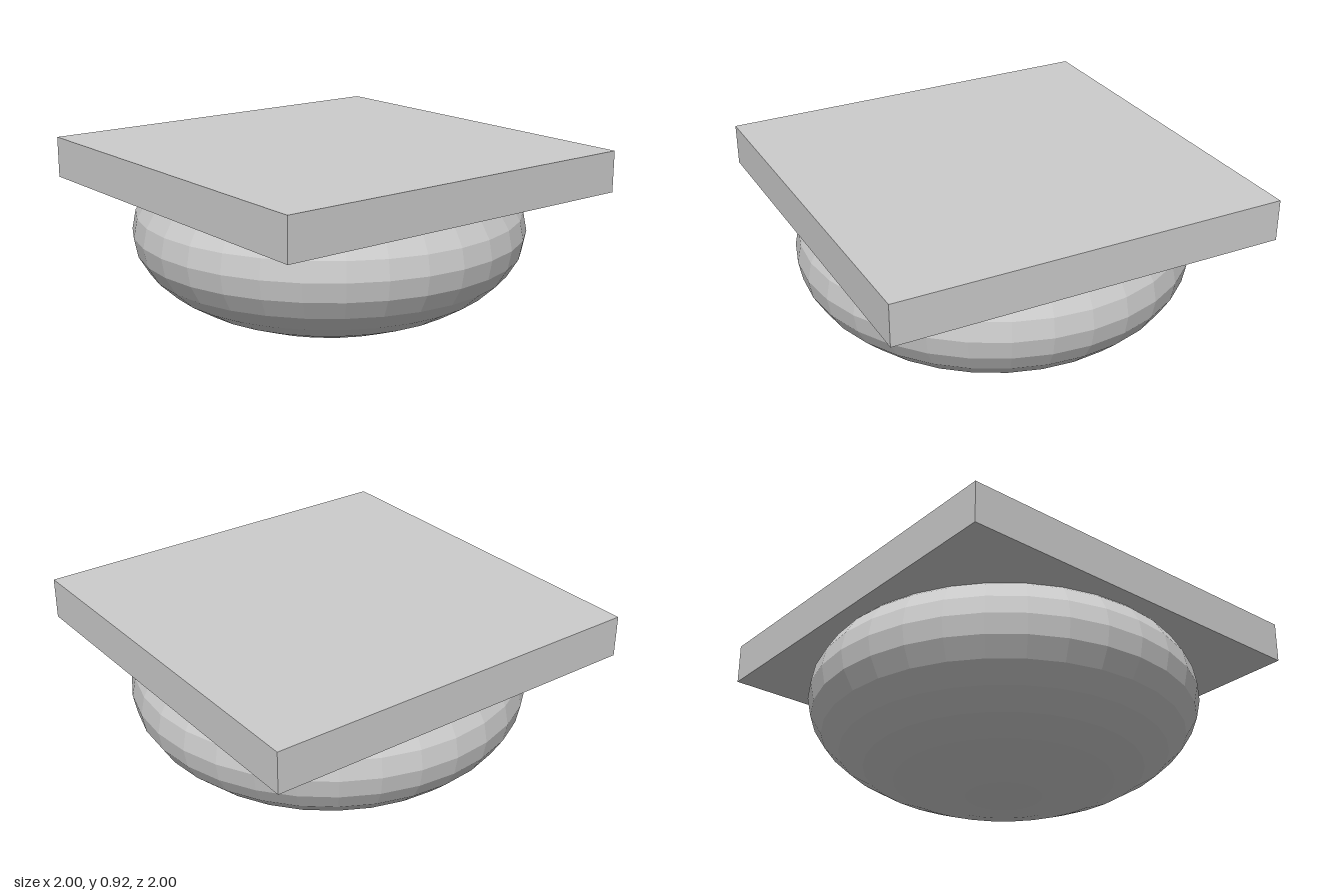
import * as THREE from 'three';

export function createModel() {
  const group = new THREE.Group();
  const material = new THREE.MeshStandardMaterial({ color: 0xcccccc, flatShading: true });

  // Square slab on top
  const slabBottom = 0.71, slabTop = 0.92;
  const slab = new THREE.Mesh(new THREE.BoxGeometry(2, slabTop - slabBottom, 2), material);
  slab.name = 'topSlab';
  slab.position.y = (slabBottom + slabTop) / 2;
  group.add(slab);

  // Faceted, flattened cushion; its uppermost rings are left out, ending inside the slab
  const rings = 16, skipped = 5;
  const step = Math.PI / rings;
  const cushionGeometry = new THREE.SphereGeometry(
    1, 32, rings - skipped, 0, Math.PI * 2, skipped * step, Math.PI - skipped * step
  );
  cushionGeometry.scale(1, 0.5, 1);
  const cushion = new THREE.Mesh(cushionGeometry, material);
  cushion.name = 'cushion';
  cushion.position.y = 0.5;
  group.add(cushion);

  return group;
}
